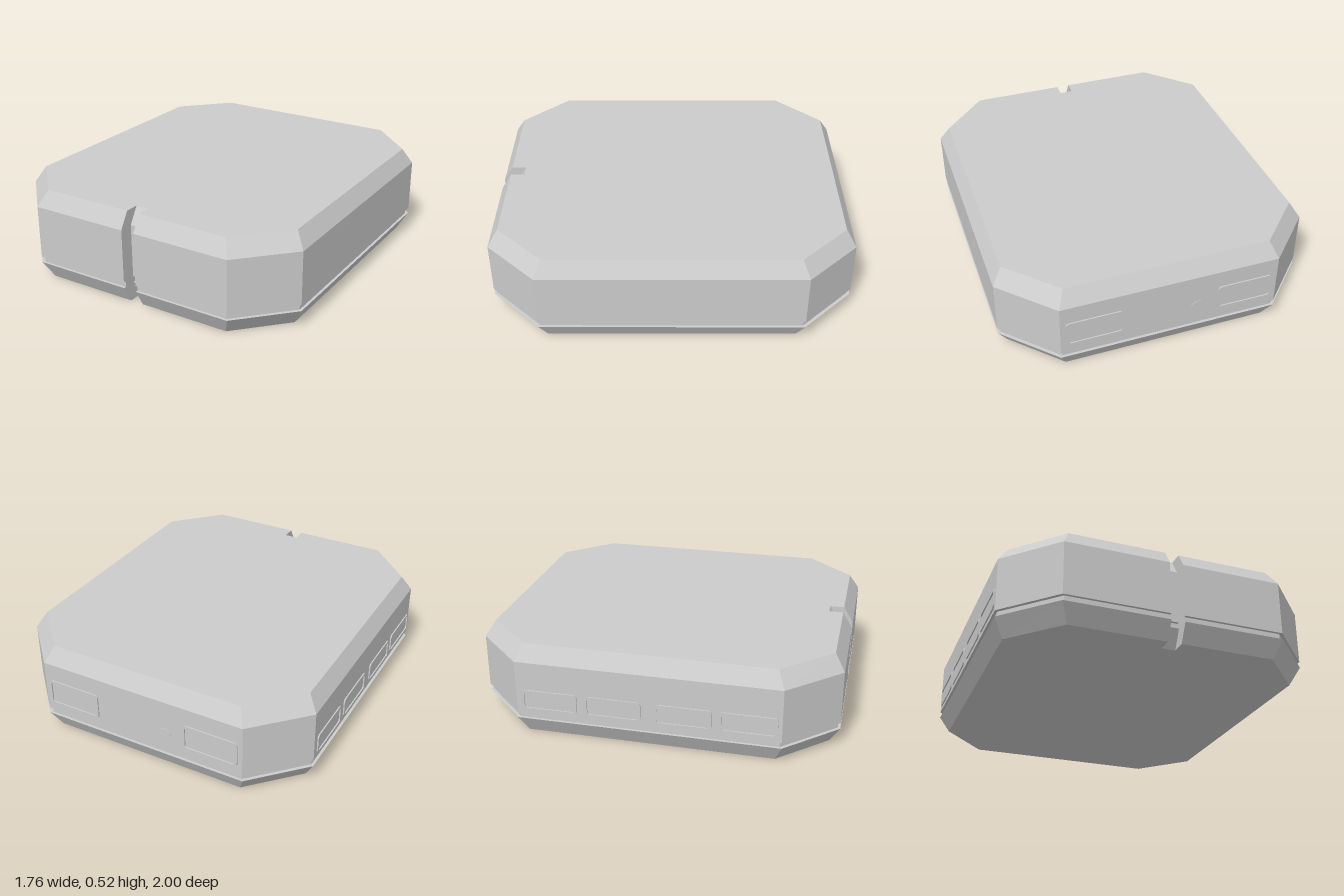
import * as THREE from 'three';

const HX = 0.874, HZ = 0.995;   // half extents of the octagon
const CX = 0.605, CZ = 0.717;   // where the corner chamfers begin
const material = new THREE.MeshStandardMaterial({ color: 0xcccccc, flatShading: true });

// Octagon with a front notch, shrunk by d; points run from the notch round to the left side
function outline(d) {
  const x = HX - d, z = HZ - d, cx = CX - d * 0.7, cz = CZ - d * 0.7;
  const n0 = -0.031, n1 = 0.045, nz = z - 0.08;
  return [[n0, nz], [n1, nz], [n1, z], [cx, z], [x, cz], [x, -cz], [cx, -z],
    [-cx, -z], [-x, -cz], [-x, cz], [-cx, z], [n0, z]].map(p => new THREE.Vector2(...p));
}

// Closed shell lofted through levels of [height, inset]
function loft(name, levels) {
  const pos = [];
  const tri = (...pts) => pts.forEach(p => pos.push(p.x, p.h, p.z));
  const rings = levels.map(([h, d]) => outline(d).map(p => ({ x: p.x, z: p.y, h })));
  for (let i = 0; i + 1 < rings.length; i++) {
    const lo = rings[i], hi = rings[i + 1];
    lo.forEach((a, k) => {
      const m = (k + 1) % lo.length;
      tri(a, lo[m], hi[m]);
      tri(a, hi[m], hi[k]);
    });
  }
  // Caps, each triangle turned to face outward
  [[rings[0], -1], [rings[rings.length - 1], 1]].forEach(([ring, up]) => {
    const contour = ring.map(p => new THREE.Vector2(p.x, p.z));
    THREE.ShapeUtils.triangulateShape(contour, []).forEach(([i, j, k]) => {
      const a = ring[i], b = ring[j], c = ring[k];
      const ny = (b.z - a.z) * (c.x - a.x) - (b.x - a.x) * (c.z - a.z);
      if (ny * up > 0) tri(a, b, c); else tri(a, c, b);
    });
  });
  const geo = new THREE.BufferGeometry();
  geo.setAttribute('position', new THREE.Float32BufferAttribute(pos, 3));
  geo.computeVertexNormals();
  const mesh = new THREE.Mesh(geo, material);
  mesh.name = name;
  return mesh;
}

// Trace a rounded rectangle centred on the origin
function roundedRect(path, w, h, r) {
  const x = w / 2, y = h / 2;
  path.moveTo(-x + r, -y);
  path.absarc(x - r, -y + r, r, -Math.PI / 2, 0);
  path.absarc(x - r, y - r, r, 0, Math.PI / 2);
  path.absarc(-x + r, y - r, r, Math.PI / 2, Math.PI);
  path.absarc(-x + r, -y + r, r, Math.PI, Math.PI * 1.5);
  return path;
}

// Slim raised frame around a port
function portFrame(name, w, h) {
  const shape = roundedRect(new THREE.Shape(), w, h, 0.022);
  shape.holes.push(roundedRect(new THREE.Path(), w - 0.024, h - 0.024, 0.014));
  const geo = new THREE.ExtrudeGeometry(shape, { depth: 0.012, bevelEnabled: false, curveSegments: 5 });
  geo.translate(0, 0, -0.005);
  const mesh = new THREE.Mesh(geo, material);
  mesh.name = name;
  return mesh;
}

export function createModel() {
  const group = new THREE.Group();
  group.name = 'octagonalCase';

  // Case: bevelled base, recessed seam, bevelled cover
  group.add(
    loft('base', [[0, 0.055], [0.1, 0]]),
    loft('seam', [[0.098, 0.015], [0.137, 0.015]]),
    loft('cover', [[0.135, 0], [0.435, 0], [0.525, 0.055]]));

  // Two ports on the back
  [-0.42, 0.42].forEach(x => {
    const port = portFrame('backPort', 0.315, 0.15);
    port.position.set(x, 0.26, -HZ);
    port.rotation.y = Math.PI;
    group.add(port);
  });

  // Four ports along the right side
  [-0.53, -0.18, 0.2, 0.545].forEach(z => {
    const port = portFrame('sidePort', 0.305, 0.115);
    port.position.set(-HX, 0.217, z);
    port.rotation.y = -Math.PI / 2;
    group.add(port);
  });

  // Small round button on the back
  const button = new THREE.Mesh(new THREE.CylinderGeometry(0.04, 0.04, 0.012, 24), material);
  button.name = 'backButton';
  button.rotation.x = Math.PI / 2;
  button.position.set(-0.15, 0.23, -HZ + 0.003);
  group.add(button);

  // Centre the case together with its raised frames
  group.children.forEach(c => { c.position.x += 0.003; c.position.z += 0.003; });
  return group;
}
